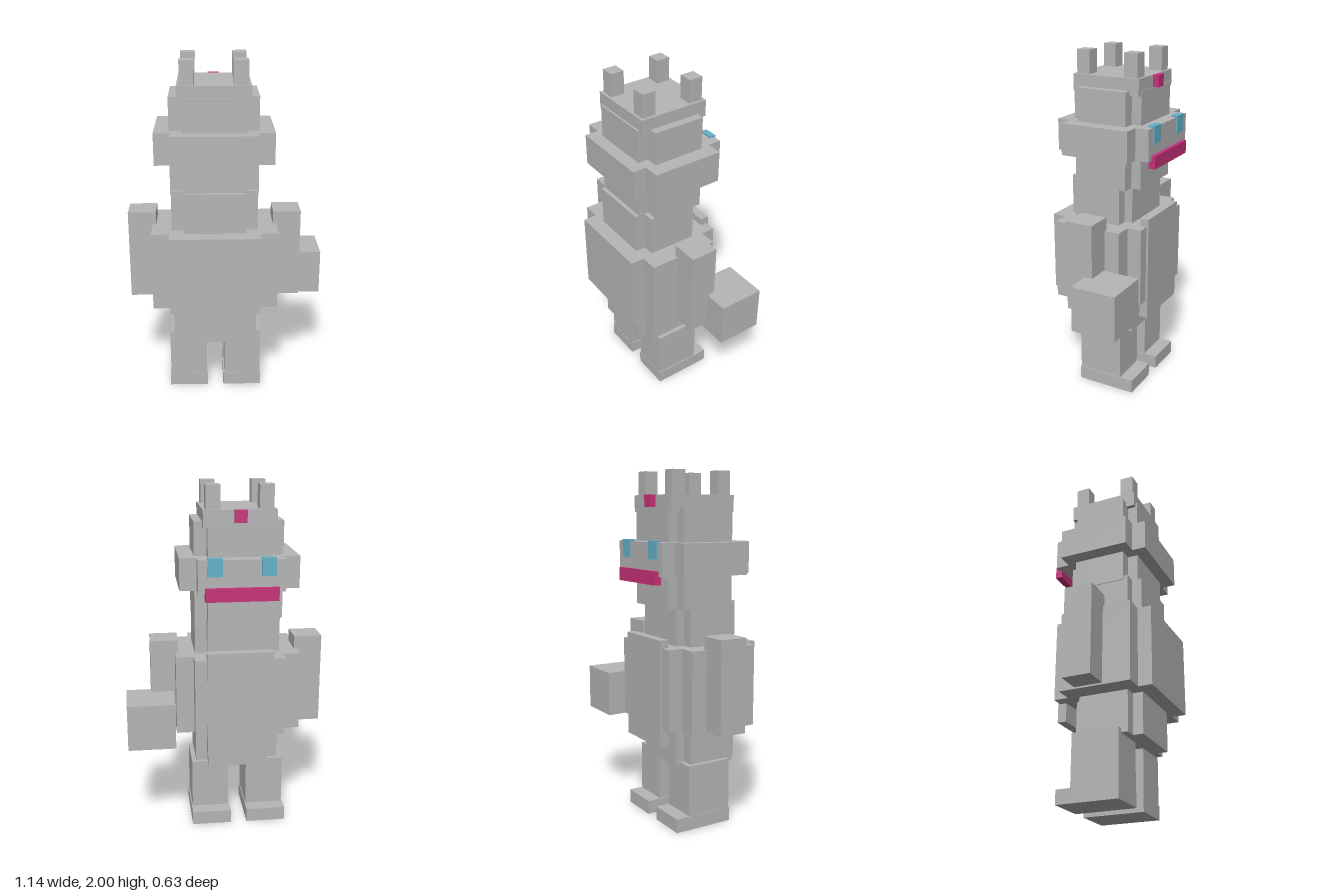
import * as THREE from 'three';

export function createModel() {
  const model = new THREE.Group();
  model.name = 'blockFigure';

  const material = (name, color) => {
    const m = new THREE.MeshStandardMaterial({ color });
    m.name = name;
    return m;
  };
  const grey = material('grey', 0xb6b6b6);
  const magenta = material('magenta', 0xc8327a);
  const blue = material('blue', 0x66b3cc);

  // Box given by its [min, max] range on each axis
  const block = (name, x, y, z, mat = grey, parent = model) => {
    const mesh = new THREE.Mesh(
      new THREE.BoxGeometry(x[1] - x[0], y[1] - y[0], z[1] - z[0]), mat);
    mesh.position.set((x[0] + x[1]) / 2, (y[0] + y[1]) / 2, (z[0] + z[1]) / 2);
    mesh.name = name;
    parent.add(mesh);
    return mesh;
  };

  // Two crossed boxes, one long in z and one wide in x, give notched corners
  const crossBlock = (name, y, deep, wide) => {
    const group = new THREE.Group();
    group.name = name;
    block(name + 'Deep', deep.x, y, deep.z, grey, group);
    block(name + 'Wide', wide.x, y, wide.z, grey, group);
    model.add(group);
  };

  // Legs and feet, toes towards -z
  block('rightLeg', [-0.345, -0.125], [0, 0.373], [-0.14, 0.131]);
  block('leftLeg', [-0.018, 0.198], [0, 0.373], [-0.14, 0.131]);
  block('rightFoot', [-0.35, -0.12], [0, 0.08], [-0.222, 0.133]);
  block('leftFoot', [-0.025, 0.204], [0, 0.08], [-0.222, 0.133]);

  // Body core, torso and head
  crossBlock('bodyCore', [0.35, 1.277],
    { x: [-0.25, 0.104], z: [-0.164, 0.228] },
    { x: [-0.317, 0.172], z: [-0.115, 0.17] });
  crossBlock('torso', [0.583, 1.044],
    { x: [-0.329, 0.185], z: [-0.262, 0.314] },
    { x: [-0.432, 0.287], z: [-0.178, 0.234] });
  crossBlock('head', [1.253, 1.802],
    { x: [-0.25, 0.105], z: [-0.215, 0.205] },
    { x: [-0.321, 0.176], z: [-0.157, 0.145] });
  crossBlock('headBand', [1.435, 1.615],
    { x: [-0.311, 0.167], z: [-0.292, 0.278] },
    { x: [-0.404, 0.261], z: [-0.213, 0.198] });

  // Belly panel
  block('bellyPanel', [-0.26, 0.117], [0.477, 1.087], [-0.274, -0.223]);

  // Arms and the block held at the left side
  block('rightArm', [-0.572, -0.411], [0.593, 1.118], [-0.088, 0.074]);
  block('leftArm', [0.266, 0.427], [0.593, 1.118], [-0.088, 0.074]);
  block('heldBlock', [0.3, 0.57], [0.545, 0.81], [-0.31, -0.041]);

  // Crown with four corner spikes
  block('crown', [-0.274, 0.13], [1.775, 1.869], [-0.211, 0.195]);
  const columns = [[-0.258, -0.179], [0.034, 0.114]];
  for (const x of columns) {
    for (const z of [[-0.194, -0.114], [0.1, 0.179]]) {
      block('crownSpike', x, [1.86, 2], z);
    }
    // Eye below each front spike
    block('eye', x, [1.525, 1.624], [-0.3, -0.263], blue);
  }

  // Jewel and mouth
  block('jewel', [-0.106, -0.039], [1.802, 1.869], [-0.243, -0.205], magenta);
  block('mouth', [-0.274, 0.129], [1.39, 1.464], [-0.315, -0.276], magenta);

  return model;
}
